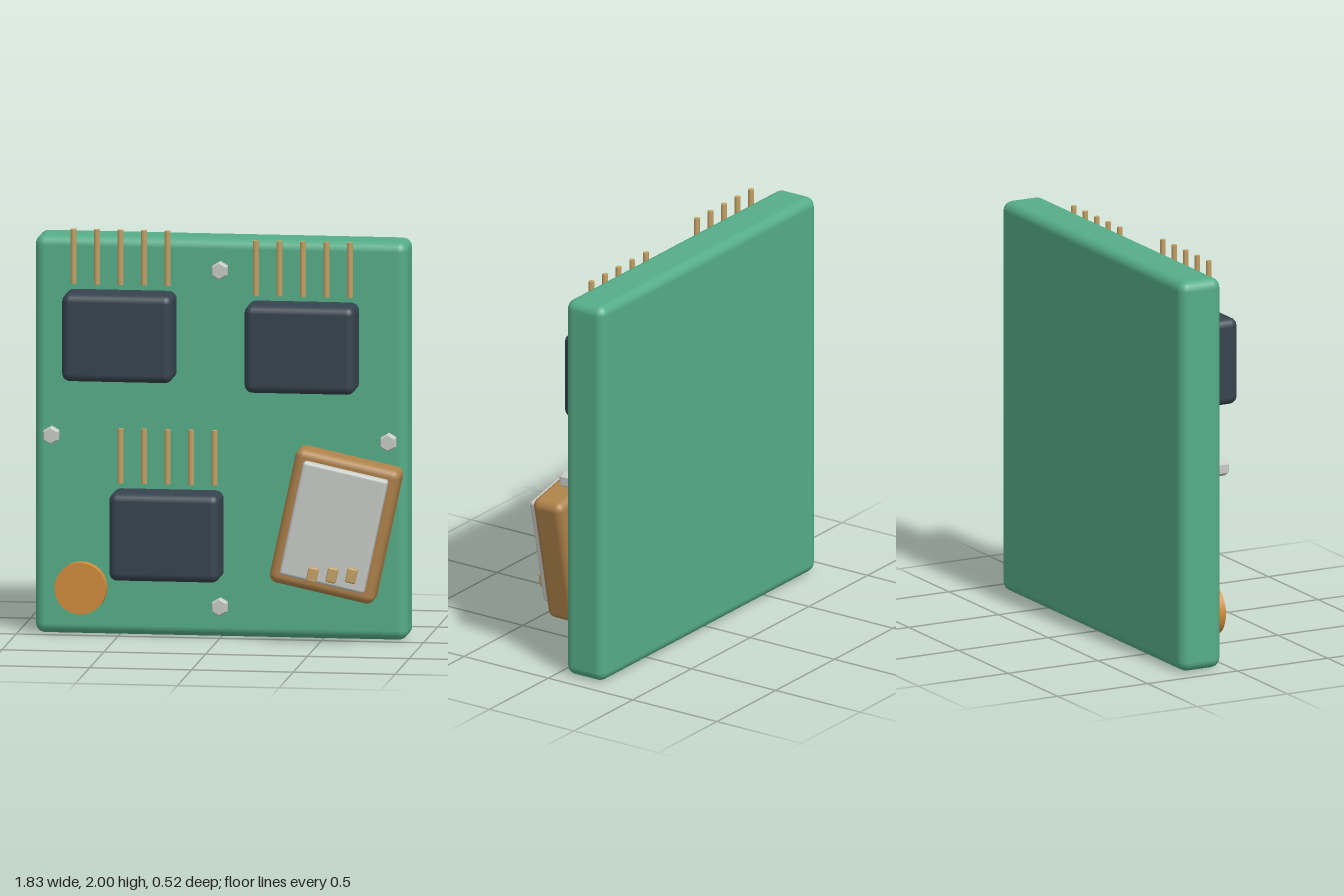
import * as THREE from 'three';
import { RoundedBoxGeometry } from 'three/addons/geometries/RoundedBoxGeometry.js';

const material = (name, color) => {
  const m = new THREE.MeshStandardMaterial({ color });
  m.name = name;
  return m;
};

export function createModel() {
  const green = material('board green', 0x55ad88);
  const slate = material('chip slate', 0x36434e);
  const gold = material('pin gold', 0xc6a366);
  const silver = material('light silver', 0xc8cbc7);
  const brown = material('module brown', 0xae824a);
  const orange = material('disc orange', 0xd18c3b);
  const flatSilver = silver.clone();
  flatSilver.flatShading = true;

  const model = new THREE.Group();
  model.name = 'circuitBoard';

  const add = (parent, name, geometry, mat, x, y, z) => {
    const mesh = new THREE.Mesh(geometry, mat);
    mesh.name = name;
    mesh.position.set(x, y, z);
    parent.add(mesh);
    return mesh;
  };
  const box = (w, h, d, r, segments = 3) => new RoundedBoxGeometry(w, h, d, segments, r);

  // Board
  add(model, 'board', box(1.83, 1.96, 0.228, 0.048), green, 0, 0.98, -0.149);

  // Chips, each with a row of five pins above it
  const chipGeometry = box(0.543, 0.433, 0.22, 0.04);
  const pinGeometry = new THREE.CylinderGeometry(0.016, 0.016, 0.27, 6);
  for (const [x, y] of [[-0.488, 1.484], [0.408, 1.446], [-0.257, 0.507]]) {
    const chip = new THREE.Group();
    chip.name = 'chip';
    chip.position.set(x, y, 0);
    add(chip, 'chipBody', chipGeometry, slate, 0, 0, 0.033);
    for (let i = -2; i <= 2; i++) {
      add(chip, 'pin', pinGeometry, gold, i * 0.1155, 0.381, -0.005);
    }
    model.add(chip);
  }

  // Hexagonal screws with bevelled rims
  const screwProfile = [[0, -0.032], [0.037, -0.032], [0.043, -0.024], [0.043, 0.024], [0.037, 0.032], [0, 0.032]];
  const screwGeometry = new THREE.LatheGeometry(screwProfile.map(([r, h]) => new THREE.Vector2(r, h)), 6);
  screwGeometry.rotateX(Math.PI / 2);
  for (const [x, y] of [[0, 1.812], [-0.828, 0.984], [0.828, 0.984], [0, 0.156]]) {
    add(model, 'screw', screwGeometry, flatSilver, x, y, -0.002);
  }

  // Round disc
  const disc = new THREE.CylinderGeometry(0.127, 0.127, 0.056, 32);
  disc.rotateX(Math.PI / 2);
  add(model, 'disc', disc, orange, -0.68, 0.236, 0.014);

  // Tilted display module with three buttons
  const tilt = -0.212;
  add(model, 'displayFrame', box(0.526, 0.678, 0.176, 0.04), brown, 0.585, 0.587, 0.081).rotation.z = tilt;
  add(model, 'displayPanel', box(0.425, 0.573, 0.06, 0.016), silver, 0.587, 0.59, 0.188).rotation.z = tilt;
  const buttonGeometry = box(0.05, 0.074, 0.032, 0.008, 2);
  for (let i = -1; i <= 1; i++) {
    add(model, 'button', buttonGeometry, gold, 0.585 + i * 0.096, 0.362, 0.246).rotation.z = tilt;
  }

  return model;
}
